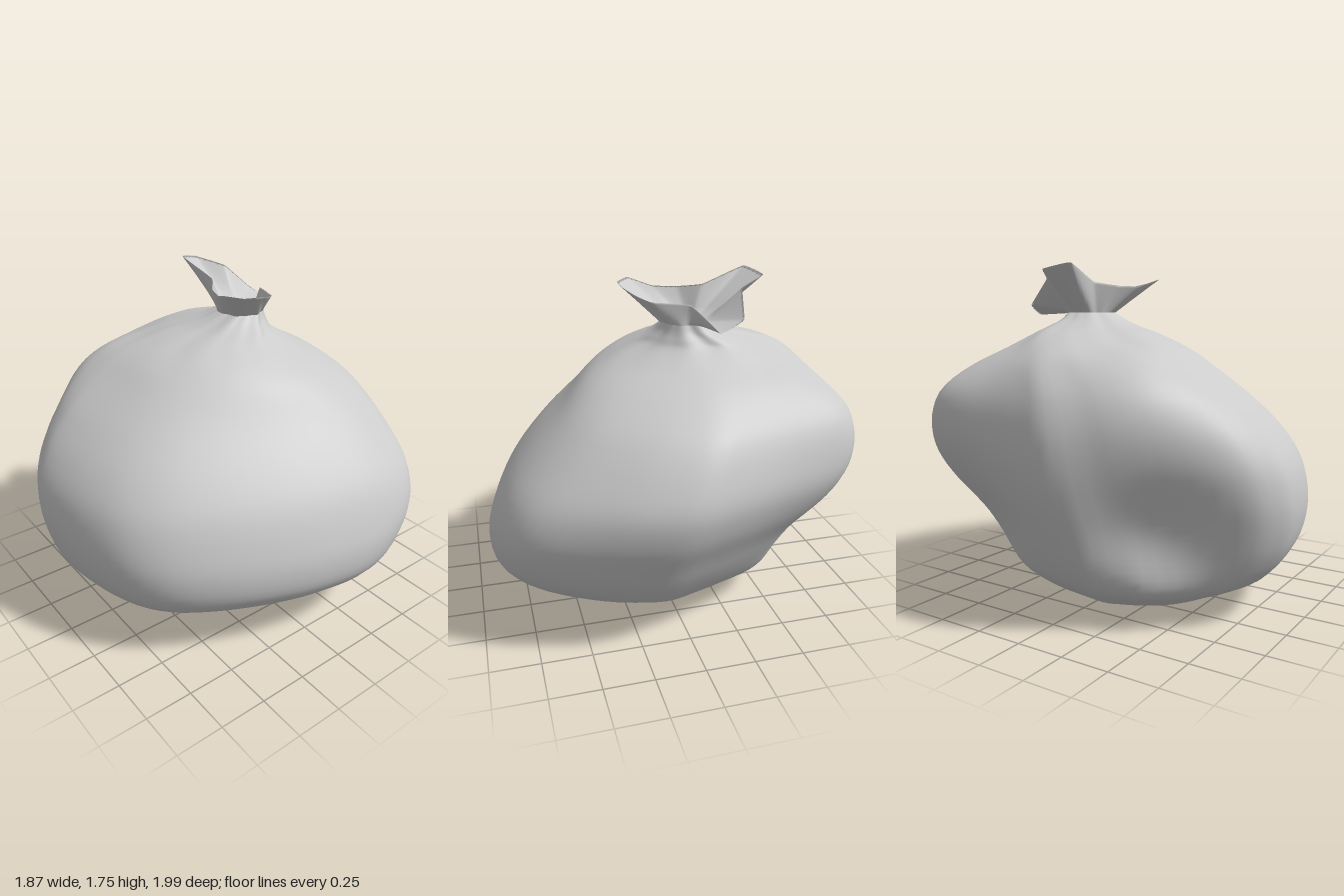
import * as THREE from 'three';

const COLS = 84;
const V = (x, y, z) => new THREE.Vector3(x, y, z);

// Skin closed rings (bottom to top) with one smooth surface; optional end caps
function skin(name, rings, material, capStart, capEnd) {
  const pos = [], idx = [];
  rings.forEach(r => r.forEach(p => pos.push(p.x, p.y, p.z)));
  for (let i = 0; i < rings.length - 1; i++) {
    for (let j = 0; j < COLS; j++) {
      const k = (j + 1) % COLS;
      const a = i * COLS + j, b = i * COLS + k, c = a + COLS, d = b + COLS;
      idx.push(a, b, d, a, d, c);
    }
  }
  const cap = (row, flip) => {
    const c = V(0, 0, 0);
    rings[row].forEach(p => c.addScaledVector(p, 1 / COLS));
    const n = pos.length / 3;
    pos.push(c.x, c.y, c.z);
    for (let j = 0; j < COLS; j++) {
      const a = row * COLS + j, b = row * COLS + (j + 1) % COLS;
      if (flip) idx.push(n, b, a); else idx.push(n, a, b);
    }
  };
  if (capStart) cap(0, true);
  if (capEnd) cap(rings.length - 1, false);
  const g = new THREE.BufferGeometry();
  g.setAttribute('position', new THREE.Float32BufferAttribute(pos, 3));
  g.setIndex(idx);
  g.computeVertexNormals();
  const m = new THREE.Mesh(g, material);
  m.name = name;
  return m;
}

// Plan outline of the full belly (x, z), running right, back, left, front
const OUTLINE = [
  [.93, -.34], [.9, -.52], [.81, -.68], [.67, -.8], [.47, -.91], [.29, -.97], [.1, -1],
  [-.1, -.95], [-.36, -.88], [-.7, -.8], [-.84, -.71], [-.89, -.53], [-.91, -.3], [-.935, 0],
  [-.935, .15], [-.84, .33], [-.77, .46], [-.6, .72], [-.44, .9], [-.3, .97], [-.2, .99],
  [0, .97], [.2, .92], [.38, .84], [.53, .71], [.66, .52], [.77, .3], [.86, .06], [.91, -.15],
];

// Levels of the bag: y, x min, x max, z back, z front
const LEVELS = [
  [0, -.24, -.16, .05, .15], [.007, -.32, -.08, -.06, .23], [.03, -.43, .06, -.22, .37],
  [.1, -.57, .5, -.5, .61], [.2, -.71, .74, -.69, .82], [.35, -.81, .91, -.82, .94],
  [.5, -.87, .935, -.9, .99], [.65, -.915, .9, -.97, 1], [.8, -.935, .83, -.995, .97],
  [.95, -.925, .71, -.95, .88], [1.1, -.88, .56, -.86, .73], [1.24, -.8, .41, -.69, .53],
  [1.33, -.7, .27, -.53, .38], [1.4, -.57, .14, -.42, .2], [1.44, -.43, .08, -.385, .06],
  [1.475, -.31, .04, -.36, -.03], [1.51, -.245, .015, -.345, -.1],
];

// Soft hollows and bulges: centre, radius, push
const DENTS = [
  [V(-.64, .5, .54), .42, V(.09, 0, -.07)],
  [V(-.72, 1.12, .4), .42, V(-.04, .04, .05)],
  [V(-.55, .16, .42), .34, V(-.05, 0, .06)],
  [V(-.8, .36, -.6), .6, V(.17, 0, .07)],
  [V(-.78, 1.02, -.58), .4, V(-.03, .01, -.03)],
  [V(.75, .6, -.65), .4, V(.03, 0, -.03)],
  [V(-.52, 1.3, .12), .25, V(.01, -.035, 0)],
];

function bagRings() {
  const outline = new THREE.CatmullRomCurve3(OUTLINE.map(([x, z]) => V(x, 0, z)), true);
  const xs = new THREE.CatmullRomCurve3(LEVELS.map(l => V(l[1], l[0], l[2])));
  const zs = new THREE.CatmullRomCurve3(LEVELS.map(l => V(l[3], l[0], l[4])));
  const rows = 64, rings = [];
  for (let i = 0; i <= rows; i++) {
    const ex = xs.getPoint(i / rows), ez = zs.getPoint(i / rows), y = ex.y;
    const round = THREE.MathUtils.smoothstep(y, 1.1, 1.5);
    const pleat = .04 * THREE.MathUtils.smoothstep(y, 1.28, 1.5);
    const ring = [];
    for (let j = 0; j < COLS; j++) {
      const o = outline.getPoint(j / COLS), a = j / COLS * Math.PI * 2;
      const gather = 1 + pleat * (Math.sin(a * 7 + 1) + .6 * Math.sin(a * 12));
      const nx = THREE.MathUtils.lerp(o.x / .935, Math.cos(a), round) * gather;
      const nz = THREE.MathUtils.lerp(o.z, -Math.sin(a), round) * gather;
      const p = V((ex.x + ex.z) / 2 + nx * (ex.z - ex.x) / 2, y,
        (ez.x + ez.z) / 2 + nz * (ez.z - ez.x) / 2);
      const q = p.clone();
      DENTS.forEach(([c, r, push]) =>
        p.addScaledVector(push, Math.exp(-q.distanceToSquared(c) / (r * r) * 2)));
      ring.push(p);
    }
    rings.push(ring);
  }
  return rings;
}

// Ragged lip of the gathered opening
const RIM = [
  [.19, 1.67, -.08], [.14, 1.64, -.19], [.08, 1.62, -.28], [-.1, 1.61, -.35], [-.2, 1.5, -.5],
  [-.33, 1.55, -.46], [-.37, 1.68, -.32], [-.52, 1.72, -.22], [-.46, 1.75, -.09],
  [-.23, 1.67, -.12], [-.12, 1.65, -.04], [0, 1.65, .01], [.12, 1.69, .07], [.19, 1.68, 0],
];

function ruffleRings(neck) {
  const rim = new THREE.CatmullRomCurve3(RIM.map(p => V(...p)), true, 'catmullrom', .15);
  const centre = V(-.12, 1.51, -.22);
  const row = (t, inset) => neck.map((n, j) =>
    n.clone().lerp(centre, inset).lerp(rim.getPoint(j / COLS), t));
  // Up the outside, over the lip, back down the inside
  return [
    ...[0, .15, .35, .55, .75, .92, 1].map(t => row(t, 0)),
    ...[.95, .75, .5, .25, .05].map(t => row(t, .3)),
  ];
}

export function createModel() {
  const group = new THREE.Group();
  group.name = 'tiedSack';
  const material = new THREE.MeshStandardMaterial({ color: 0xcccccc, side: THREE.DoubleSide });
  const body = bagRings();
  group.add(skin('bagBody', body, material, true, false));
  group.add(skin('gatheredOpening', ruffleRings(body[body.length - 1]), material, false, true));
  return group;
}
